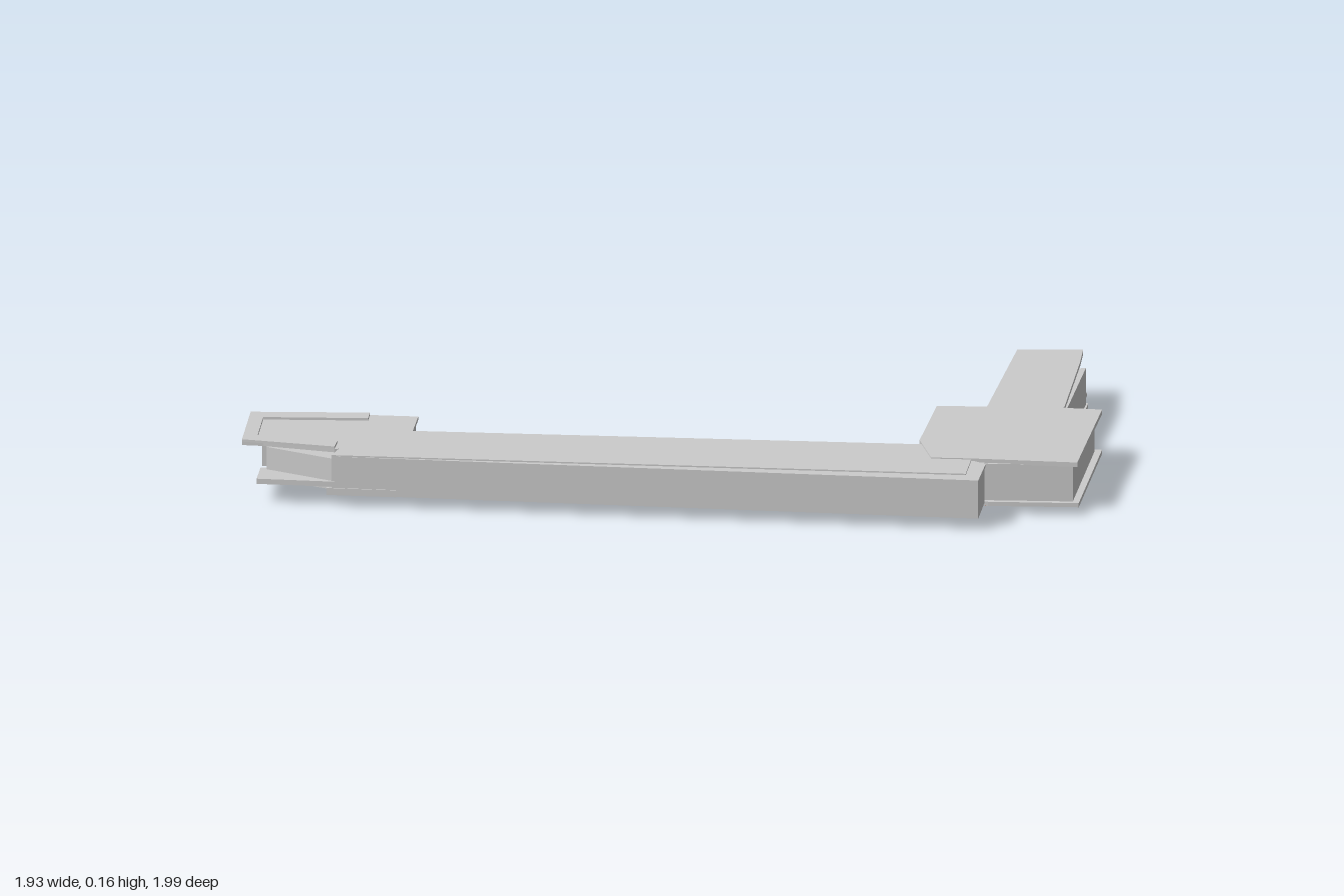
import * as THREE from 'three';

const grey = new THREE.MeshStandardMaterial({ color: 0xcccccc });
const rust = new THREE.MeshStandardMaterial({ color: 0xb23a0a });

export function createModel() {
  const group = new THREE.Group();

  // Flat prism from a plan outline of [x, z] corners between two heights
  function slab(name, outline, y0, y1) {
    const shape = new THREE.Shape(outline.map(([x, z]) => new THREE.Vector2(x, -z)));
    const geometry = new THREE.ExtrudeGeometry(shape, { depth: y1 - y0, bevelEnabled: false });
    geometry.rotateX(-Math.PI / 2).translate(0, y0, 0);
    const mesh = new THREE.Mesh(geometry, grey);
    mesh.name = name;
    group.add(mesh);
  }

  // Upright round peg
  function peg(name, x, z, radius, y0, y1, material = grey) {
    const mesh = new THREE.Mesh(new THREE.CylinderGeometry(radius, radius, y1 - y0, 16), material);
    mesh.position.set(x, (y0 + y1) / 2, z);
    mesh.name = name;
    group.add(mesh);
  }

  // Long wing: walls, roof with a lower outer rim, and inner ledge
  slab('longWingWalls', [[-0.86, -0.65], [0.06, 0.84], [0.16, 0.785], [0.2, 0.6], [0.14, 0.56], [-0.61, -0.58], [-0.66, -0.72]], 0.035, 0.14);
  slab('longWingRim', [[-0.86, -0.65], [0.06, 0.84], [0.165, 0.785], [0.16, 0.56], [-0.59, -0.58], [-0.65, -0.7]], 0.138, 0.146);
  slab('longWingRoof', [[-0.86, -0.65], [0.07, 0.79], [0.16, 0.74], [0.2, 0.6], [0.16, 0.56], [-0.59, -0.58], [-0.65, -0.7]], 0.14, 0.15);
  slab('innerLedge', [[-0.62, -0.58], [-0.53, -0.6], [0.18, 0.55], [0.12, 0.58]], 0.055, 0.066);

  // Far pavilion at the end of the long wing
  slab('pavilionWalls', [[-0.9, -0.84], [-0.77, -0.92], [-0.58, -0.62], [-0.74, -0.5], [-0.86, -0.65]], 0.05, 0.14);
  slab('pavilionFloor', [[-0.87, -0.66], [-0.8, -0.7], [-0.62, -0.62], [-0.6, -0.56], [-0.77, -0.5]], 0.035, 0.055);
  slab('pavilionSide', [[-0.66, -0.77], [-0.58, -0.73], [-0.51, -0.63], [-0.59, -0.58]], 0.035, 0.14);
  slab('pavilionEndWall', [[-0.84, -0.9], [-0.77, -0.945], [-0.58, -0.68], [-0.66, -0.64]], 0.05, 0.14);
  slab('pavilionRoof', [[-0.93, -0.9], [-0.76, -1], [-0.57, -0.74], [-0.5, -0.63], [-0.59, -0.58], [-0.75, -0.6], [-0.82, -0.67], [-0.9, -0.85]], 0.14, 0.15);
  slab('pavilionRoofRim', [[-0.93, -0.9], [-0.76, -1], [-0.57, -0.74], [-0.605, -0.72], [-0.77, -0.95], [-0.88, -0.885], [-0.78, -0.69], [-0.82, -0.67]], 0.15, 0.157);
  slab('sideTab', [[-0.97, -0.82], [-0.9, -0.86], [-0.79, -0.68], [-0.86, -0.64]], 0.06, 0.075);

  // Corner block joining both wings
  slab('cornerFloor', [[0.17, 0.79], [0.31, 0.99], [0.65, 0.81], [0.59, 0.72], [0.5, 0.57], [0.39, 0.46], [0.18, 0.57], [0.12, 0.7]], 0.024, 0.036);
  slab('cornerWalls', [[0.17, 0.77], [0.31, 0.97], [0.63, 0.8], [0.58, 0.7], [0.48, 0.55], [0.39, 0.45], [0.17, 0.56], [0.1, 0.67]], 0.034, 0.142);
  slab('cornerRoof', [[0.16, 0.74], [0.31, 0.985], [0.65, 0.81], [0.58, 0.69], [0.48, 0.55], [0.4, 0.44], [0.18, 0.55], [0.1, 0.65]], 0.14, 0.153);

  // Short wing: floor and roof plates around recessed walls
  slab('shortWingFloor', [[0.49, 0.57], [0.76, 0.38], [0.78, 0.41], [0.84, 0.4], [0.95, 0.53], [0.88, 0.56], [0.89, 0.58], [0.6, 0.74]], 0.024, 0.036);
  slab('shortWingWalls', [[0.48, 0.57], [0.76, 0.41], [0.78, 0.44], [0.81, 0.49], [0.86, 0.56], [0.88, 0.58], [0.59, 0.73]], 0.034, 0.142);
  slab('shortWingEnd', [[0.78, 0.43], [0.83, 0.405], [0.9, 0.51], [0.85, 0.54]], 0.034, 0.142);
  slab('shortWingRoof', [[0.48, 0.55], [0.85, 0.37], [0.96, 0.51], [0.88, 0.56], [0.6, 0.72]], 0.14, 0.153);

  // Row of pegs below the long wing
  for (let i = 0; i < 5; i++) peg('wingPeg', -0.33 + i * 0.1025, 0.1 + i * 0.165, 0.008, 0.018, 0.04);
  peg('pavilionPeg', -0.58, -0.665, 0.008, 0.018, 0.04);
  peg('pavilionFoot', -0.83, -0.85, 0.025, 0.018, 0.065);

  // Coloured foot and small studs below the corner
  peg('cornerFoot', 0.25, 0.735, 0.04, 0, 0.026, rust);
  for (const [x, z] of [[0.36, 0.83], [0.45, 0.62], [0.52, 0.76], [0.69, 0.675]])
    peg('stud', x, z, 0.007, 0.017, 0.03, rust);

  return group;
}
